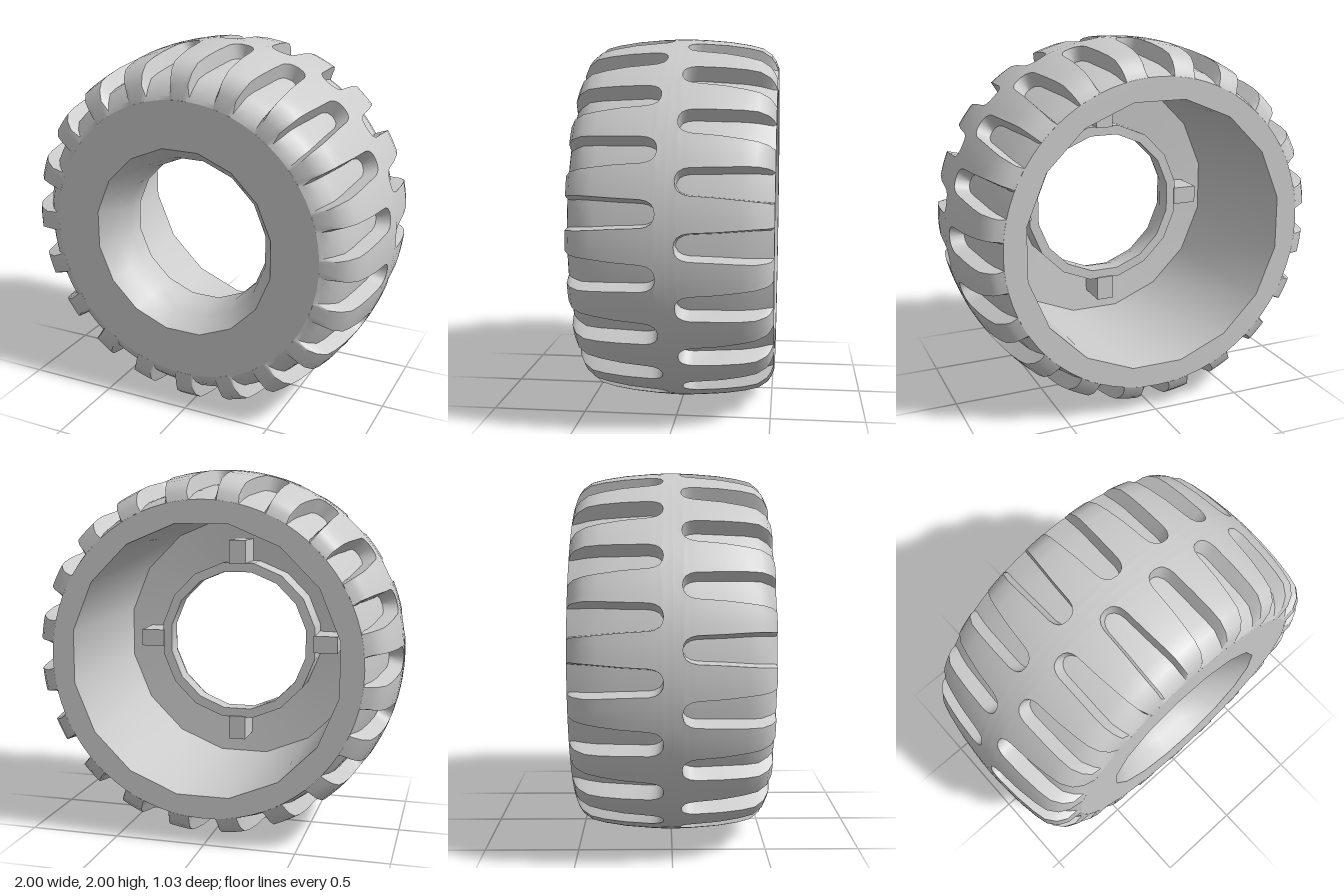
import * as THREE from 'three';
import { toCreasedNormals } from 'three/addons/utils/BufferGeometryUtils.js';

const LUGS = 20;                       // ribs per side
const HALF = 180 / LUGS;               // half a rib pitch, degrees
const DRAFT = 0.7;                     // slope of the groove walls, degrees
const material = new THREE.MeshStandardMaterial({ color: 0xcccccc });

// Tread sections: [distance from centre line, rib radius, groove floor radius, groove half angle]
const CROWN = [
  [0, 1, 1, 0], [0.045, 0.999, 0.999, 0], [0.045, 0.999, 0.92, 0],
  [0.05, 0.999, 0.92, 1.6], [0.062, 0.998, 0.92, 2.7], [0.085, 0.997, 0.918, 3.5], [0.115, 0.996, 0.916, 3.9],
  [0.25, 0.985, 0.902, 4.3], [0.36, 0.968, 0.888, 4.8], [0.43, 0.95, 0.872, 5.1],
];
const FRONT = [...CROWN, [0.48, 0.91, 0.83, 5.3], [0.507, 0.855, 0.79, 5.7], [0.515, 0.77, 0.77, 6.3]];
const BACK = [...CROWN, [0.48, 0.915, 0.856, 5.2], [0.5, 0.885, 0.85, 5.3], [0.515, 0.845, 0.845, 5.4]];

function named(geometry, name) {
  const mesh = new THREE.Mesh(geometry, material);
  mesh.name = name;
  return mesh;
}

// One side of the tread: each pitch is a loft whose cross-section is floor, wall, rib, wall, floor
function treadSide(sections, side, phase) {
  const pos = [], index = [], cols = 9;
  for (let k = 0; k < LUGS; k++) {
    const base = pos.length / 3;
    for (const [z, rib, floor, groove] of sections) {
      const w = HALF - groove, foot = Math.min(HALF, w + DRAFT);
      const angles = [-HALF, -foot, -w, -w / 2, 0, w / 2, w, foot, HALF];
      angles.forEach((a, j) => {
        const r = j > 1 && j < 7 ? rib : floor;
        const t = THREE.MathUtils.degToRad(k * 2 * HALF + phase + a);
        pos.push(r * Math.sin(t), r * Math.cos(t), side * z);
      });
    }
    for (let i = 0; i < sections.length - 1; i++) {
      for (let j = 0; j < cols - 1; j++) {
        const a = base + i * cols + j, b = a + 1, c = a + cols, d = c + 1;
        if (side > 0) index.push(a, c, b, b, c, d);
        else index.push(a, b, c, b, d, c);
      }
    }
  }
  const g = new THREE.BufferGeometry();
  g.setAttribute('position', new THREE.Float32BufferAttribute(pos, 3));
  g.setIndex(index);
  return toCreasedNormals(g, 0.65);
}

function polygon(radius, sides, phase) {
  return Array.from({ length: sides }, (_, i) => {
    const t = phase + (i / sides) * Math.PI * 2;
    return new THREE.Vector2(radius * Math.cos(t), radius * Math.sin(t));
  });
}

// Flat side wall: round outside, 16-sided opening
function sidewall(outer, inner) {
  const shape = new THREE.Shape(polygon(outer, 80, 0));
  shape.holes.push(new THREE.Path(polygon(inner, 16, Math.PI / 16)));
  return new THREE.ShapeGeometry(shape);
}

export function createModel() {
  const group = new THREE.Group();
  group.name = 'tyre';

  // Tread, ribs staggered by half a pitch between the two sides
  group.add(named(treadSide(FRONT, 1, 0), 'frontTread'));
  group.add(named(treadSide(BACK, -1, HALF), 'backTread'));

  // Side walls
  const front = named(sidewall(0.77, 0.52), 'frontSidewall');
  front.position.z = 0.515;
  const back = named(sidewall(0.845, 0.735), 'backRim');
  back.position.z = -0.515;
  back.rotation.y = Math.PI;
  group.add(front, back);

  // Funnel-shaped hub opening, its inner lip and the hollow interior
  const profile = [
    [0.52, 0.515], [0.45, 0.42], [0.42, 0.33], [0.42, 0.23], [0.475, 0.23],
    [0.475, 0.42], [0.735, 0.4], [0.735, -0.515],
  ].map(([r, z]) => new THREE.Vector2(r, z));
  const inside = new THREE.LatheGeometry(profile, 16, Math.PI / 16);
  inside.rotateX(Math.PI / 2);
  group.add(named(toCreasedNormals(inside, 0.6), 'hollowInterior'));

  // Four locating blocks around the lip
  for (let i = 0; i < 4; i++) {
    const t = (i * Math.PI) / 2;
    const block = named(new THREE.BoxGeometry(0.14, 0.1, 0.2), 'locatingBlock');
    block.position.set(0.53 * Math.cos(t), 0.53 * Math.sin(t), 0.32);
    block.rotation.z = t;
    group.add(block);
  }

  // Stand the tyre on the ground
  group.children.forEach((part) => { part.position.y += 1; });
  return group;
}
